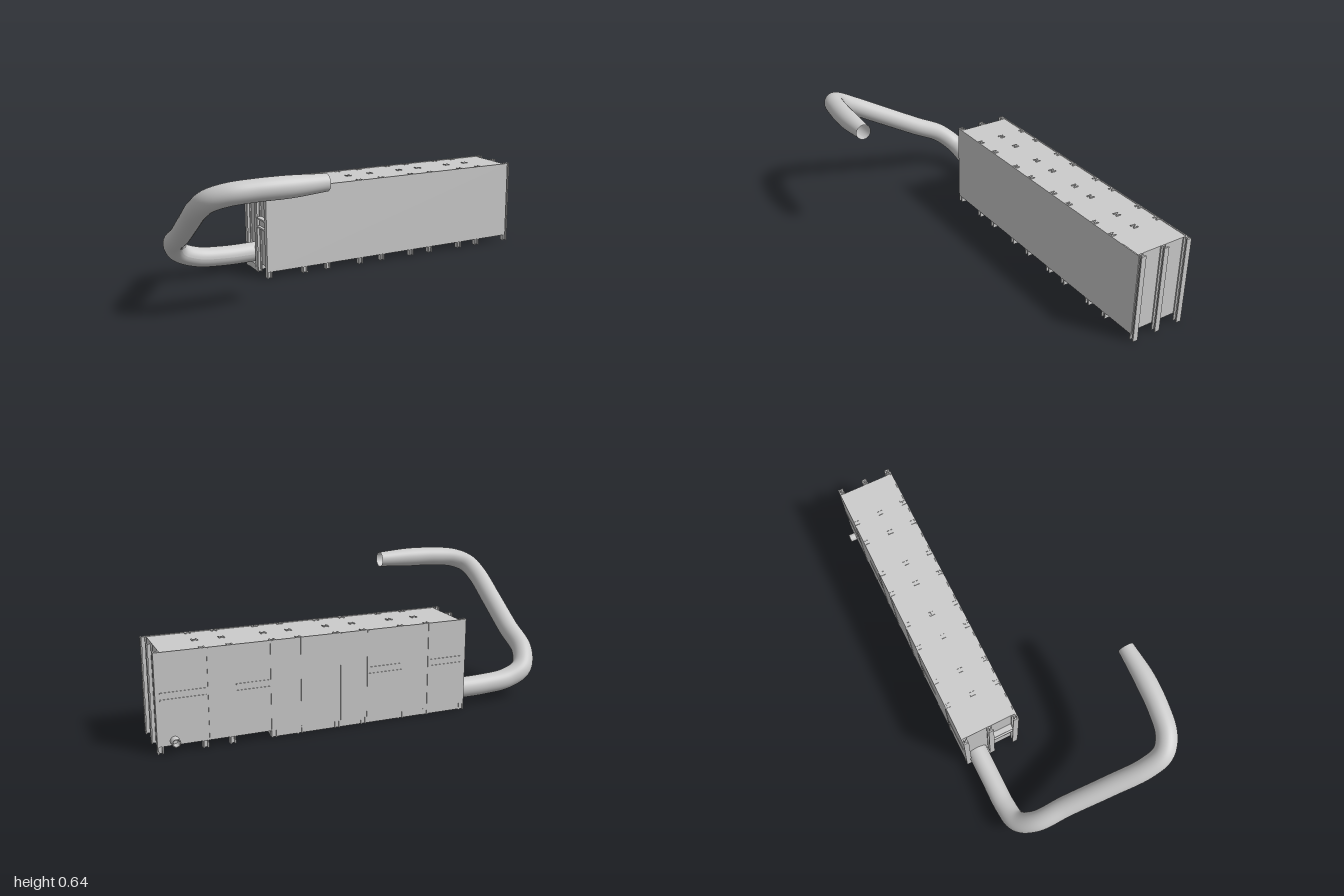
import * as THREE from 'three';

const steel = new THREE.MeshStandardMaterial({ color: 0xcccccc });
const thin = new THREE.MeshStandardMaterial({ color: 0xcccccc, side: THREE.DoubleSide });

// Box given by its minimum and maximum corners
function block(parent, name, x0, x1, y0, y1, z0, z1) {
  const mesh = new THREE.Mesh(new THREE.BoxGeometry(x1 - x0, y1 - y0, z1 - z0), steel);
  mesh.position.set((x0 + x1) / 2, (y0 + y1) / 2, (z0 + z1) / 2);
  mesh.name = name;
  parent.add(mesh);
  return mesh;
}

// I-beam outline, extruded upwards
function beamGeometry(height) {
  const w = 0.013, t = 0.006, web = 0.003;
  const points = [
    [-w, -w], [w, -w], [w, w], [-w, w], [-w, w - 2 * w],
  ];
  points.length = 0;
  points.push(
    [-w, -w], [-w + t, -w], [-w + t, -web], [w - t, -web], [w - t, -w], [w, -w],
    [w, w], [w - t, w], [w - t, web], [-w + t, web], [-w + t, w], [-w, w],
  );
  const shape = new THREE.Shape(points.map(([x, y]) => new THREE.Vector2(x, y)));
  const geometry = new THREE.ExtrudeGeometry(shape, { depth: height, bevelEnabled: false });
  return geometry.rotateX(-Math.PI / 2);
}

function createPosts() {
  const posts = new THREE.Group();
  posts.name = 'posts';
  const geometry = beamGeometry(0.447);
  for (const x of [-0.463, -0.27, -0.14, 0.05, 0.18, 0.36, 0.48, 0.67, 0.79, 0.986]) {
    for (const z of [-0.171, -0.298, -0.427]) {
      const post = new THREE.Mesh(geometry, steel);
      post.position.set(x, 0, z);
      post.name = 'post';
      posts.add(post);
    }
  }
  return posts;
}

function createBody() {
  const body = new THREE.Group();
  body.name = 'body';
  block(body, 'core', -0.448, 0.97, 0.035, 0.443, -0.436, -0.16);
  block(body, 'frontPanel', -0.476, 0.984, 0.033, 0.446, -0.162, -0.156);
  block(body, 'backPanel', -0.476, 0.998, 0.033, 0.446, -0.44, -0.434);
  // Deeper sump along part of the underside
  block(body, 'sump', -0.476, 0.49, 0.003, 0.036, -0.438, -0.312);
  // Bracket between the posts on one end
  for (const y of [0.235, 0.28]) block(body, 'endBracket', -0.475, -0.447, y, y + 0.008, -0.285, -0.184);
  block(body, 'endBracketWeb', -0.46, -0.447, 0.235, 0.288, -0.285, -0.184);
  return body;
}

// Thin seams and rails standing slightly off the back panel
function createBackRibs() {
  const ribs = new THREE.Group();
  ribs.name = 'backRibs';
  for (const x of [0.77, 0.49, 0.35, 0.16, 0.03, -0.28]) {
    block(ribs, 'seam', x - 0.004, x + 0.004, 0.035, 0.444, -0.443, -0.44);
  }
  for (const [x0, x1] of [[0.78, 0.98], [0.49, 0.65], [-0.14, 0.03], [-0.45, -0.28]]) {
    for (const y of [0.235, 0.265]) block(ribs, 'rail', x0, x1, y, y + 0.006, -0.443, -0.44);
  }
  return ribs;
}

// Bent exhaust pipe with a narrowed mouth
function createPipe() {
  const path = new THREE.CatmullRomCurve3([
    [-0.44, 0.085, -0.37], [-0.62, 0.086, -0.37], [-0.76, 0.1, -0.37], [-0.855, 0.14, -0.355],
    [-0.905, 0.21, -0.28], [-0.915, 0.29, -0.13], [-0.935, 0.4, 0.07], [-0.949, 0.5, 0.25],
    [-0.93, 0.55, 0.335], [-0.865, 0.577, 0.383], [-0.75, 0.588, 0.408], [-0.6, 0.59, 0.42],
    [-0.43, 0.59, 0.417],
  ].map((p) => new THREE.Vector3(...p)));
  const rings = 120, sides = 32;
  const geometry = new THREE.TubeGeometry(path, rings, 0.05, sides, false);
  const pos = geometry.attributes.position;
  const v = new THREE.Vector3();
  for (let i = 0; i <= rings; i++) {
    const centre = path.getPointAt(i / rings);
    const s = 1 - 0.26 * THREE.MathUtils.smoothstep(i / rings, 0.88, 1.04);
    for (let j = 0; j <= sides; j++) {
      const k = i * (sides + 1) + j;
      v.fromBufferAttribute(pos, k).sub(centre).multiplyScalar(s).add(centre);
      pos.setXYZ(k, v.x, v.y, v.z);
    }
  }
  geometry.computeVertexNormals();
  const pipe = new THREE.Mesh(geometry, thin);
  pipe.name = 'bentPipe';
  return pipe;
}

// Short outlet on the back
function createOutlet() {
  const profile = [[0.014, 0], [0.014, 0.035], [0.02, 0.035], [0.02, 0]];
  const geometry = new THREE.LatheGeometry(profile.map(([r, y]) => new THREE.Vector2(r, y)), 24);
  const outlet = new THREE.Mesh(geometry, thin);
  outlet.rotation.x = -Math.PI / 2;
  outlet.position.set(0.925, 0.053, -0.438);
  outlet.name = 'outlet';
  return outlet;
}

export function createModel() {
  const model = new THREE.Group();
  model.name = 'containerWithPipe';
  model.add(createBody(), createPosts(), createBackRibs(), createPipe(), createOutlet());
  return model;
}
